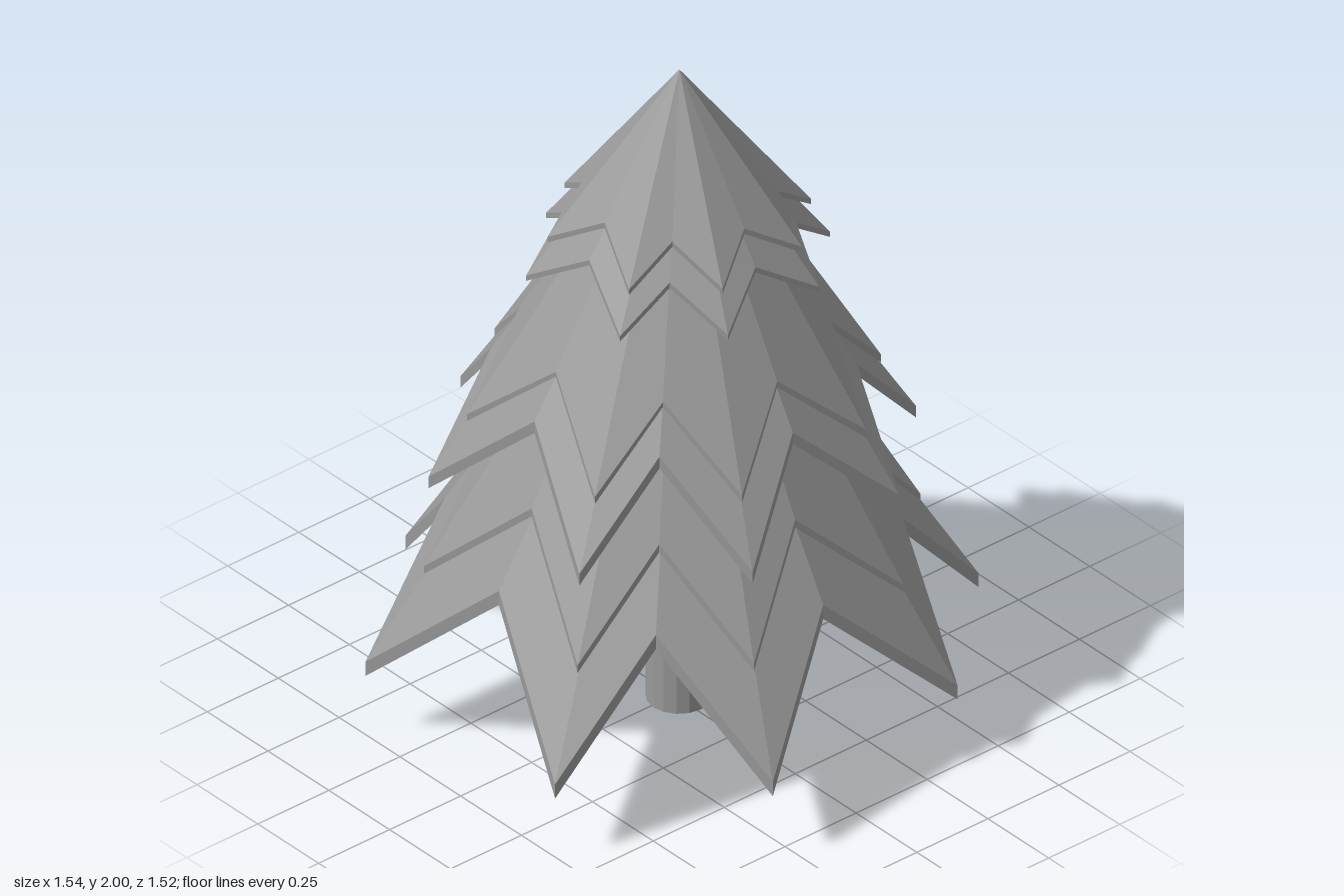
import * as THREE from 'three';

// Slightly uneven eight-pointed star: branch tips (x, z), counterclockwise from the front
const TIPS = [
  [0.40, 0.76], [0.77, 0.31], [0.735, -0.37], [0.36, -0.765],
  [-0.26, -0.765], [-0.775, -0.37], [-0.775, 0.28], [-0.38, 0.76],
];

// Hollow star-shaped cone: sloped outside, short upright rim, matching inside
function starCone({ scale, valley, shiftZ, tipY, valleyY, apexY, rim }) {
  const ring = [];
  TIPS.forEach(([x, z], i) => {
    const a = i * Math.PI / 4;
    ring.push([Math.sin(a) * valley, valleyY, Math.cos(a) * valley + shiftZ]);
    ring.push([x * scale, tipY, z * scale + shiftZ]);
  });
  const lower = ([x, y, z]) => [x, y - rim, z];
  const apex = [0, apexY, -0.02];
  const positions = [];
  const tri = (...corners) => corners.forEach((c) => positions.push(...c));
  ring.forEach((p, i) => {
    const q = ring[(i + 1) % ring.length];
    tri(p, q, apex);
    tri(lower(p), lower(q), q);
    tri(lower(p), q, p);
    tri(lower(q), lower(p), lower(apex));
  });
  const geometry = new THREE.BufferGeometry();
  geometry.setAttribute('position', new THREE.Float32BufferAttribute(positions, 3));
  geometry.computeVertexNormals();
  return geometry;
}

export function createModel() {
  const tree = new THREE.Group();
  tree.name = 'pineTree';
  const material = new THREE.MeshStandardMaterial({ color: 0x999999, flatShading: true });

  // Trunk
  const trunk = new THREE.Mesh(new THREE.CylinderGeometry(0.09, 0.09, 0.6, 16), material);
  trunk.name = 'trunk';
  trunk.position.set(0.01, 0.3, -0.01);
  tree.add(trunk);

  // Three tiers of branches, each with a thinner layer laid on top
  const layers = [
    { name: 'lowerBranches', scale: 1, valley: 0.615, shiftZ: 0, tipY: 0.243, valleyY: 0.6, apexY: 1.6, rim: 0.045 },
    { name: 'lowerBranchesOverlay', scale: 0.81, valley: 0.5, shiftZ: 0, tipY: 0.525, valleyY: 0.815, apexY: 1.71, rim: 0.025 },
    { name: 'middleBranches', scale: 0.795, valley: 0.49, shiftZ: 0, tipY: 0.81, valleyY: 1.09, apexY: 1.85, rim: 0.037 },
    { name: 'middleBranchesOverlay', scale: 0.675, valley: 0.42, shiftZ: -0.005, tipY: 0.992, valleyY: 1.217, apexY: 1.94, rim: 0.025 },
    { name: 'upperBranches', scale: 0.495, valley: 0.315, shiftZ: -0.018, tipY: 1.407, valleyY: 1.525, apexY: 1.965, rim: 0.017 },
    { name: 'treeTop', scale: 0.43, valley: 0.265, shiftZ: -0.022, tipY: 1.52, valleyY: 1.622, apexY: 2, rim: 0.017 },
  ];
  for (const layer of layers) {
    const mesh = new THREE.Mesh(starCone(layer), material);
    mesh.name = layer.name;
    tree.add(mesh);
  }
  return tree;
}
